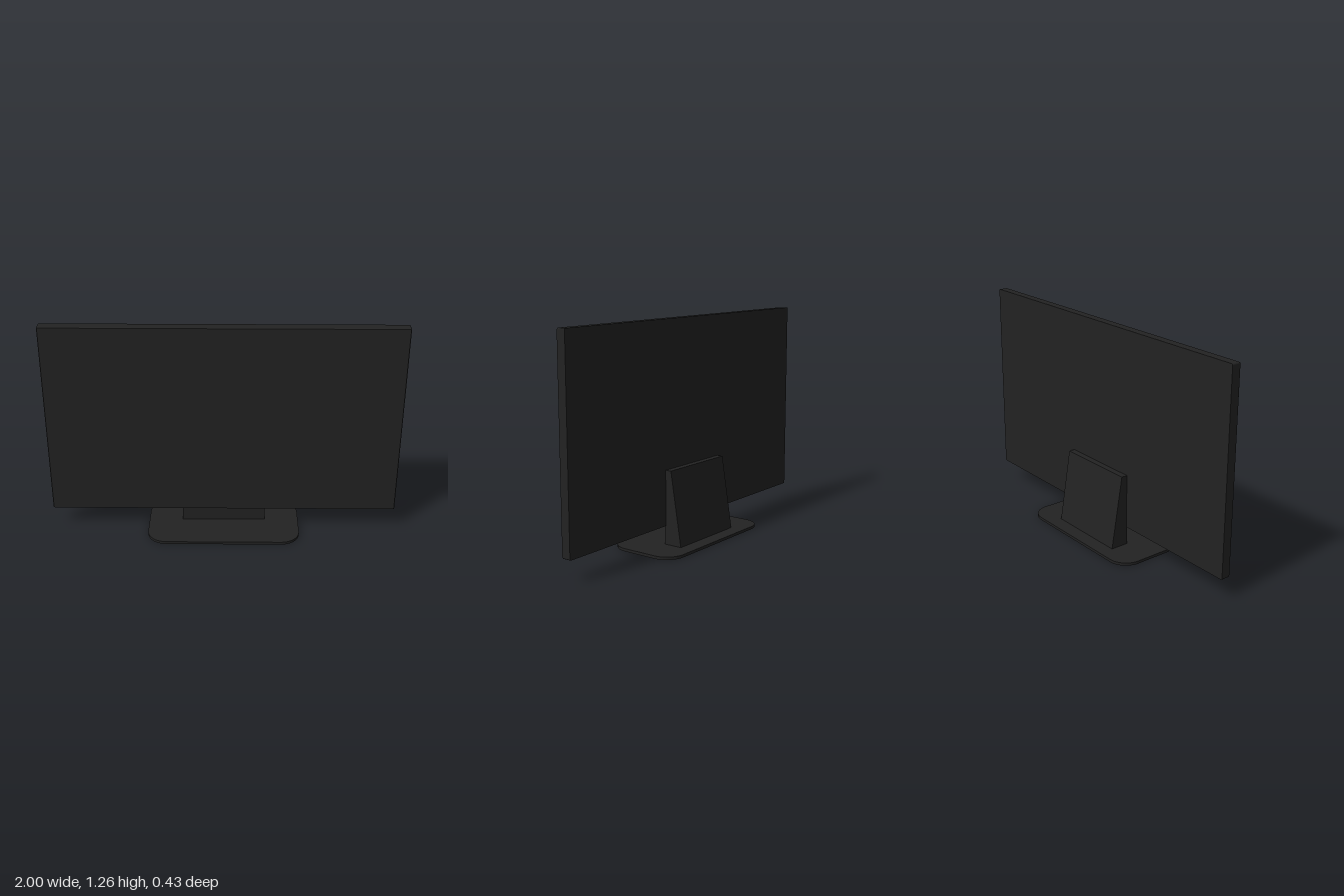
import * as THREE from 'three';

// Rounded rectangle centred on the origin
function roundedRect(w, h, r) {
  const x = w / 2, y = h / 2, s = new THREE.Shape();
  s.moveTo(-x + r, -y);
  s.lineTo(x - r, -y);
  s.absarc(x - r, -y + r, r, -Math.PI / 2, 0);
  s.lineTo(x, y - r);
  s.absarc(x - r, y - r, r, 0, Math.PI / 2);
  s.lineTo(-x + r, y);
  s.absarc(-x + r, y - r, r, Math.PI / 2, Math.PI);
  s.lineTo(-x, -y + r);
  s.absarc(-x + r, -y + r, r, Math.PI, Math.PI * 1.5);
  return s;
}

export function createModel() {
  const group = new THREE.Group();
  const black = new THREE.MeshStandardMaterial({ color: 0x222222 });
  black.name = 'matte black';

  const add = (name, geometry) => {
    const mesh = new THREE.Mesh(geometry, black);
    mesh.name = name;
    group.add(mesh);
    return mesh;
  };

  // Screen panel: square back, slim chamfer around the front edge
  const depth = 0.056;
  const panel = new THREE.ExtrudeGeometry(roundedRect(2, 1.14, 0.007),
    { depth, steps: 2, bevelEnabled: false, curveSegments: 3 });
  const p = panel.attributes.position;
  for (let i = 0; i < p.count; i++) {
    const z = p.getZ(i);
    if (z > depth * 0.9) {
      p.setX(i, p.getX(i) - Math.sign(p.getX(i)) * 0.004);
      p.setY(i, p.getY(i) - Math.sign(p.getY(i)) * 0.004);
    } else if (z > depth * 0.1) {
      p.setZ(i, depth - 0.007);
    }
  }
  panel.computeVertexNormals();
  add('screenPanel', panel).position.set(0, 0.691, -depth / 2);

  // Wedge-shaped stand, drawn in side profile as (z, y) and swept across x
  const profile = new THREE.Shape([
    [0.022, 0.012], [0.132, 0.012], [0.064, 0.437], [0.022, 0.437],
  ].map(([z, y]) => new THREE.Vector2(z, y)));
  const stand = new THREE.ExtrudeGeometry(profile, { depth: 0.486, bevelEnabled: false });
  stand.translate(0, 0, -0.243).rotateY(Math.PI / 2);
  add('stand', stand);

  // Foot plate with broad rounded corners
  const foot = new THREE.ExtrudeGeometry(roundedRect(0.88, 0.43, 0.11),
    { depth: 0.016, bevelEnabled: false, curveSegments: 12 });
  foot.rotateX(-Math.PI / 2);
  add('footPlate', foot);

  return group;
}
